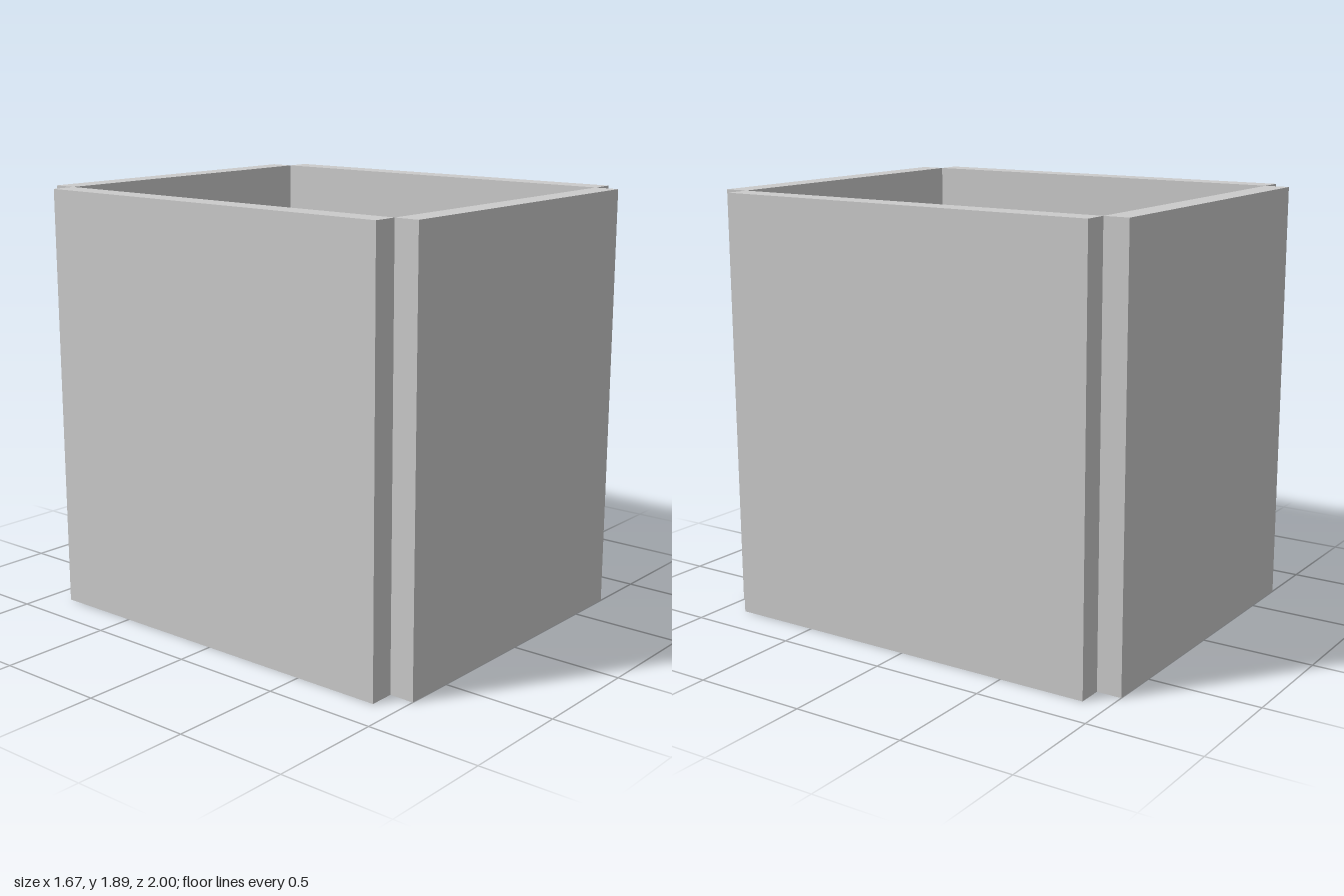
import * as THREE from 'three';

export function createModel() {
  const model = new THREE.Group();
  model.name = 'openBox';
  const material = new THREE.MeshStandardMaterial({ color: 0xcccccc, flatShading: true });

  const innerX = 0.722; // half width of the cavity
  const innerZ = 0.889; // half depth of the cavity
  const wall = 0.111;   // panel thickness
  const height = 1.89;

  // Panel standing on a given base height
  function panel(name, w, h, d, x, y, z) {
    const mesh = new THREE.Mesh(new THREE.BoxGeometry(w, h, d), material);
    mesh.name = name;
    mesh.position.set(x, y + h / 2, z);
    model.add(mesh);
  }

  // Floor fills the cavity between the walls
  panel('floor', innerX * 2, wall, innerZ * 2, 0, 0, 0);

  // Opposite walls, leaving a square notch at each outer corner
  for (const s of [1, -1]) {
    panel(s > 0 ? 'frontWall' : 'backWall', innerX * 2, height, wall, 0, 0, s * (innerZ + wall / 2));
    panel(s > 0 ? 'leftWall' : 'rightWall', wall, height, innerZ * 2, s * (innerX + wall / 2), 0, 0);
  }
  return model;
}
